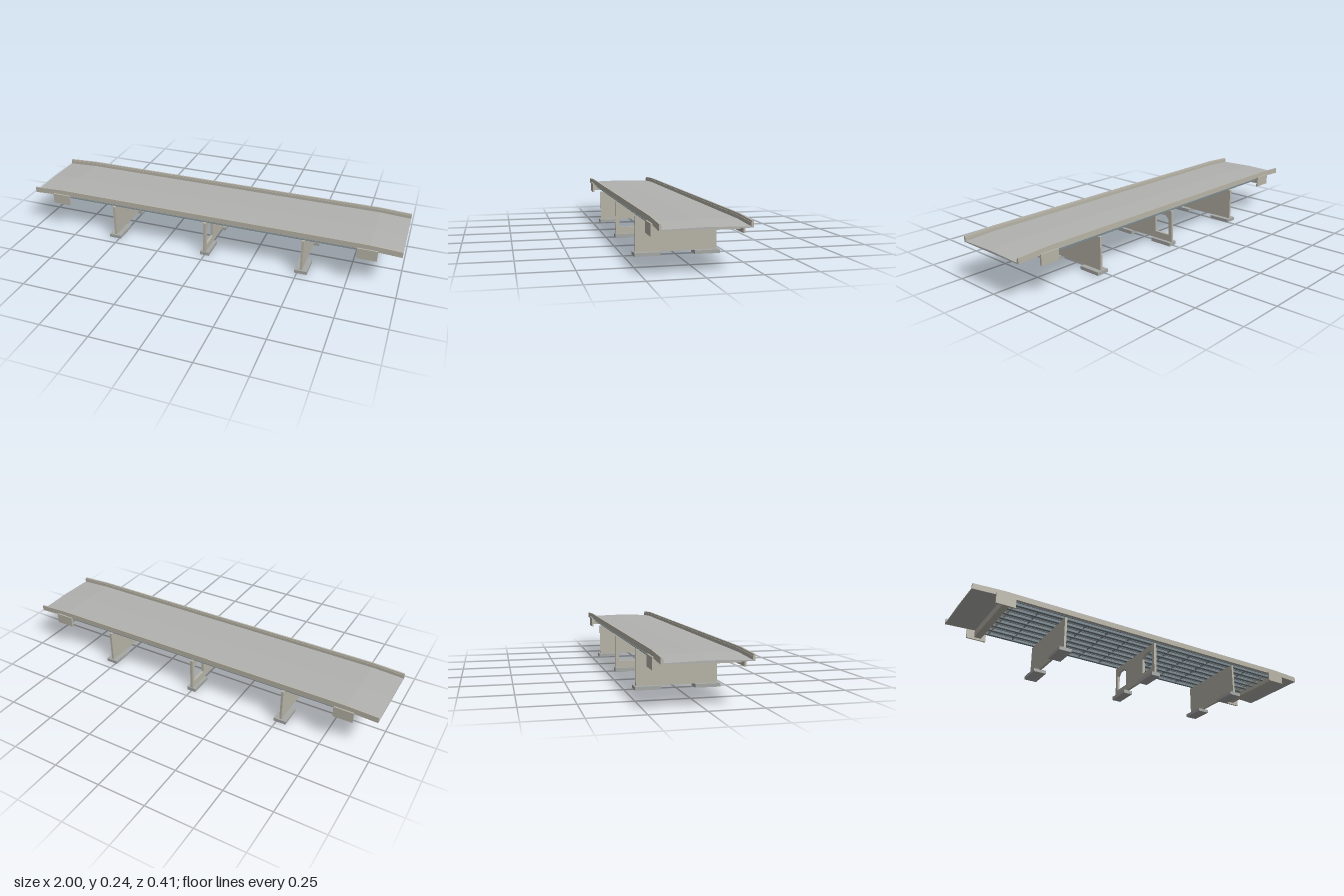
import * as THREE from 'three';

const material = (color) => new THREE.MeshStandardMaterial({ color, flatShading: true });

export function createModel() {
  const model = new THREE.Group();
  const concrete = material(0xb8b4a8);
  const road = material(0xb2b2b0);
  const steel = material(0x76858c);
  const footingGrey = material(0xa6a8a6);

  const add = (name, geometry, mat, parent = model) => {
    const mesh = new THREE.Mesh(geometry, mat);
    mesh.name = name;
    parent.add(mesh);
    return mesh;
  };

  // Box given by its limits on each axis
  const box = (name, [x0, x1], [y0, y1], [z0, z1], mat, parent) => {
    const mesh = add(name, new THREE.BoxGeometry(x1 - x0, y1 - y0, z1 - z0), mat, parent);
    mesh.position.set((x0 + x1) / 2, (y0 + y1) / 2, (z0 + z1) / 2);
    return mesh;
  };

  const polygon = (points) => new THREE.Shape(points.map(([z, y]) => new THREE.Vector2(z, y)));

  // Extrude a (z, y) section along x, centred on x = 0
  const alongX = (shape, length, steps = 1) => {
    const g = new THREE.ExtrudeGeometry(shape, { depth: length, steps, bevelEnabled: false });
    return g.translate(0, 0, -length / 2).rotateY(-Math.PI / 2);
  };

  // Full-length section whose ends ramp down beyond x = 0.84
  const ramped = (points) => {
    const g = alongX(polygon(points), 2, 25);
    const p = g.attributes.position;
    for (let i = 0; i < p.count; i++) {
      const t = Math.max(0, (Math.abs(p.getX(i)) - 0.84) / 0.16);
      p.setY(i, p.getY(i) - 0.008 * t);
    }
    g.computeVertexNormals();
    return g;
  };

  // Crowned road deck
  add('deck', ramped([[-0.19, 0.207], [0.19, 0.207], [0.19, 0.212], [0, 0.217], [-0.19, 0.212]]), road);

  // Edge parapets with a stepped inner face
  for (const s of [-1, 1]) {
    const section = [[0.188, 0.207], [0.199, 0.207], [0.199, 0.236], [0.191, 0.236], [0.19, 0.228], [0.188, 0.228]];
    add(s > 0 ? 'frontParapet' : 'backParapet', ramped(section.map(([z, y]) => [s * z, y])), concrete);
  }

  // I-section girders and the cross bracing between them
  const girders = new THREE.Group();
  girders.name = 'girders';
  model.add(girders);
  const count = 8;
  const spacing = 0.35 / (count - 1);
  const beam = alongX(polygon([
    [-0.007, 0.189], [0.007, 0.189], [0.007, 0.192], [0.002, 0.192], [0.002, 0.205], [0.007, 0.205],
    [0.007, 0.208], [-0.007, 0.208], [-0.007, 0.205], [-0.002, 0.205], [-0.002, 0.192], [-0.007, 0.192],
  ]), 1.62);
  for (let i = 0; i < count; i++) {
    add('girder', beam, steel, girders).position.z = -0.175 + i * spacing;
  }
  for (const x of [-0.65, -0.39, -0.26, -0.13, 0.13, 0.26, 0.39, 0.65]) {
    box('crossBrace', [x - 0.002, x + 0.002], [0.195, 0.204], [-0.175, 0.175], steel, girders);
  }

  // Abutments: cross wall, end diaphragm and side wing plates
  for (const s of [-1, 1]) {
    const abutment = new THREE.Group();
    abutment.name = s > 0 ? 'leftAbutment' : 'rightAbutment';
    model.add(abutment);
    const span = (a, b) => (s > 0 ? [a, b] : [-b, -a]);
    box('crossWall', span(0.81, 0.845), [0.168, 0.208], [-0.199, 0.199], concrete, abutment);
    box('endDiaphragm', span(0.775, 0.785), [0.192, 0.208], [-0.175, 0.175], concrete, abutment);
    box('frontWing', span(0.785, 0.885), [0.157, 0.212], [0.198, 0.207], concrete, abutment);
    box('backWing', span(0.785, 0.885), [0.157, 0.212], [-0.207, -0.198], concrete, abutment);
  }

  // Solid outer piers, each on a pair of footings
  for (const x of [-0.52, 0.52]) {
    const pier = new THREE.Group();
    pier.name = 'outerPier';
    model.add(pier);
    box('pierWall', [x - 0.006, x + 0.006], [0.019, 0.19], [-0.198, 0.198], concrete, pier);
    for (const z of [[0.084, 0.207], [-0.207, -0.084]]) {
      box('footing', [x - 0.033, x + 0.033], [0.004, 0.021], z, footingGrey, pier);
    }
  }

  // Middle pier with a chamfered opening near each end
  const middlePier = new THREE.Group();
  middlePier.name = 'middlePier';
  model.add(middlePier);
  const wall = polygon([[-0.198, 0.019], [0.198, 0.019], [0.198, 0.19], [-0.198, 0.19]]);
  for (const s of [-1, 1]) {
    const opening = [[0.085, 0.055], [0.178, 0.055], [0.178, 0.14], [0.158, 0.16], [0.105, 0.16], [0.085, 0.14]];
    wall.holes.push(polygon(opening.map(([z, y]) => [s * z, y])));
  }
  add('pierWall', alongX(wall, 0.014), concrete, middlePier);
  for (const z of [[0.075, 0.202], [-0.202, -0.075]]) {
    box('footing', [-0.025, 0.025], [0, 0.019], z, footingGrey, middlePier);
  }

  return model;
}
